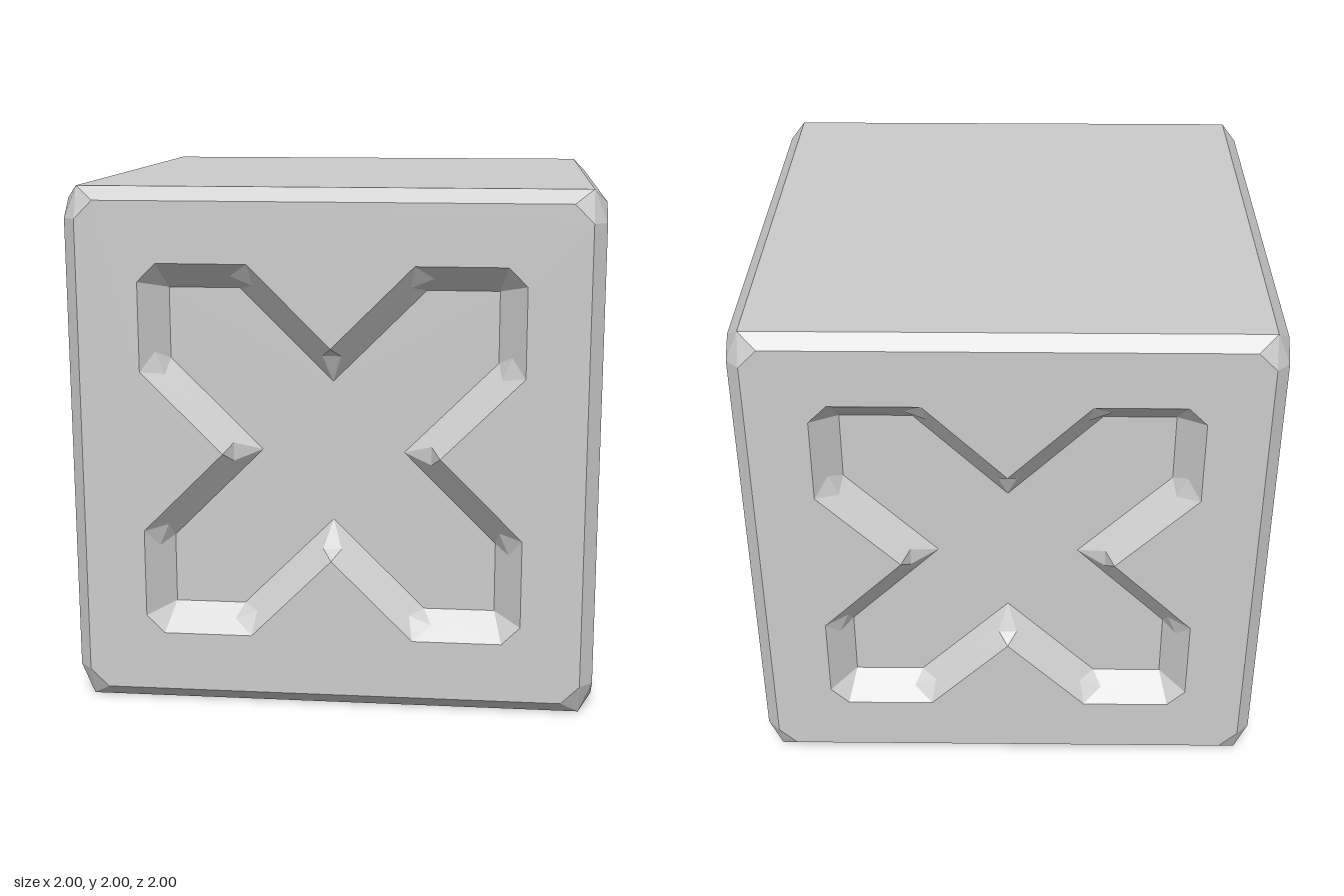
import * as THREE from 'three';

const V = (x, y, z) => new THREE.Vector3(x, y, z);
const material = new THREE.MeshStandardMaterial({ color: 0xcccccc, flatShading: true });

function mesh(name, geometry) {
  const m = new THREE.Mesh(geometry, material);
  m.name = name;
  return m;
}

// Fan-triangulates polygons round their centre; each triangle faces along `facing`
// (or away from the cube's centre when none is given).
function facets(polygons, facing) {
  const out = [];
  for (const poly of polygons) {
    const mid = poly.reduce((s, p) => s.add(p), V(0, 0, 0)).divideScalar(poly.length);
    const tris = poly.length === 3 ? [poly]
      : poly.map((p, i) => [mid, p, poly[(i + 1) % poly.length]]);
    for (const [a, b, c] of tris) {
      const n = b.clone().sub(a).cross(c.clone().sub(a));
      if (n.length() < 1e-8) continue;
      const order = n.dot(facing || mid) > 0 ? [a, b, c] : [a, c, b];
      for (const p of order) out.push(p.x, p.y, p.z);
    }
  }
  const g = new THREE.BufferGeometry();
  g.setAttribute('position', new THREE.Float32BufferAttribute(out, 3));
  g.computeVertexNormals();
  return g;
}

// Repeats one arm of the cross four times by quarter turns
function cross(arm, z) {
  const pts = [];
  for (let q = 0; q < 4; q++) {
    for (const [x, y] of arm) {
      let p = [x, y];
      for (let k = 0; k < q; k++) p = [p[1], -p[0]];
      pts.push(V(p[0], p[1], z));
    }
  }
  return pts;
}

function sidePanel() {
  const panel = new THREE.Group();
  const rim = cross([[0, 0.41], [0.31, 0.72], [0.65, 0.72], [0.72, 0.65], [0.72, 0.31]], 1);
  const bed = cross([[0, 0.27], [0.35, 0.62], [0.62, 0.62], [0.62, 0.62], [0.62, 0.35]], 0.9);
  const flat = (pts) => pts.map((p) => new THREE.Vector2(p.x, p.y));

  // Flat face with clipped corners and the cross cut out
  const face = new THREE.Shape(flat(cross([[0.88, 0.95], [0.95, 0.88]], 1)));
  face.holes.push(new THREE.Path(flat(rim)));
  panel.add(mesh('sideFace', new THREE.ShapeGeometry(face).translate(0, 0, 1)));

  // Recessed floor
  const floor = new THREE.Shape(flat(bed.filter((p, i) => i % 5 !== 3)));
  panel.add(mesh('recessFloor', new THREE.ShapeGeometry(floor).translate(0, 0, 0.9)));

  // Sloping walls, with a small kite facet at the notches and arm bends
  const n = rim.length;
  const bent = (i) => i % 5 !== 2 && i % 5 !== 3;
  const notchPoint = (i, j) => rim[i].clone().add(bed[i]).multiplyScalar(0.5)
    .addScaledVector(rim[j].clone().sub(rim[i]).normalize(), bent(i) ? 0.05 : 0);
  const walls = [], kites = [];
  for (let i = 0; i < n; i++) {
    const j = (i + 1) % n, h = (i + n - 1) % n;
    if (i % 5 === 2) walls.push([rim[i], rim[j], bed[i]]);
    else walls.push([rim[i], rim[j], notchPoint(j, i), bed[j], bed[i], notchPoint(i, j)]);
    if (bent(i)) {
      const a = notchPoint(i, h), b = notchPoint(i, j);
      kites.push([a, b, rim[i]], [a, b, bed[i]]);
    }
  }
  panel.add(mesh('recessWalls', facets(walls, V(0, 0, 1))));
  panel.add(mesh('recessCornerFacets', facets(kites, V(0, 0, 1))));

  // Bevels along the top, bottom and one upright edge
  const bevels = [1, -1].map((s) => [
    V(-0.88, 0.95 * s, 1), V(0.88, 0.95 * s, 1), V(0.95, s, 0.95), V(-0.95, s, 0.95)]);
  bevels.push([V(0.95, -0.88, 1), V(0.95, 0.88, 1), V(1, 0.88, 0.95), V(1, -0.88, 0.95)]);
  panel.add(mesh('edgeBevels', facets(bevels)));

  // Faceted corners at the ends of the upright edge
  const corners = [];
  for (const s of [1, -1]) {
    const tip = V(0.95, s, 0.95);
    const ring = [V(0.88, 0.95 * s, 1), V(0.95, 0.88 * s, 1), V(1, 0.88 * s, 0.95), V(1, 0.95 * s, 0.88)];
    for (let i = 0; i < 3; i++) corners.push([tip, ring[i], ring[i + 1]]);
  }
  panel.add(mesh('corners', facets(corners)));
  return panel;
}

export function createModel() {
  const model = new THREE.Group();
  model.name = 'crossCrate';
  const body = new THREE.Group();
  body.name = 'body';
  body.position.y = 1;
  model.add(body);

  // Four identical sides
  ['front', 'left', 'back', 'right'].forEach((side, i) => {
    const panel = sidePanel();
    panel.name = side + 'Side';
    panel.rotation.y = i * Math.PI / 2;
    body.add(panel);
  });

  // Plain top and bottom
  for (const [name, s] of [['topFace', 1], ['bottomFace', -1]]) {
    const g = new THREE.PlaneGeometry(1.9, 1.9).rotateX(-s * Math.PI / 2).translate(0, s, 0);
    body.add(mesh(name, g));
  }
  return model;
}
